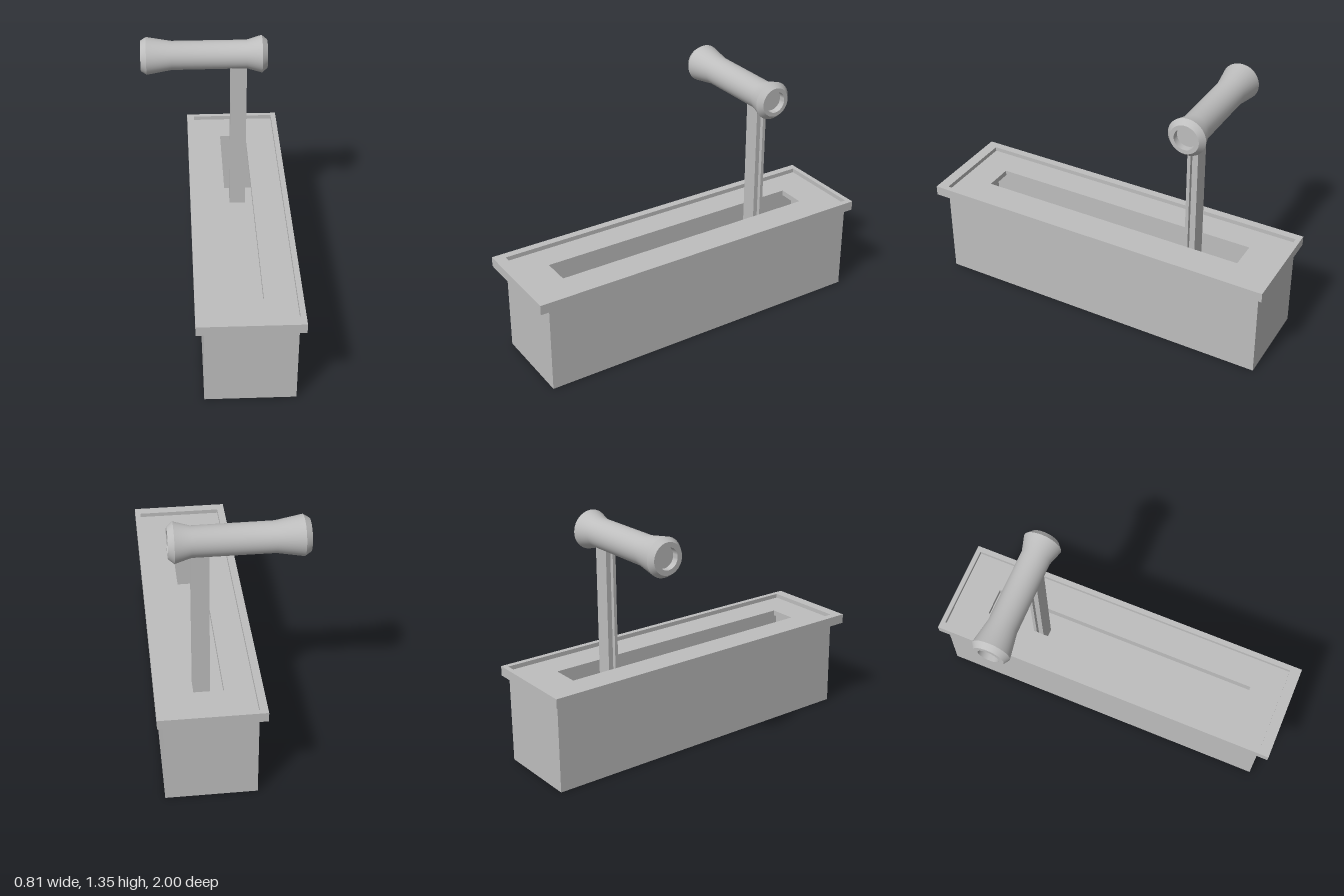
import * as THREE from 'three';
import { toCreasedNormals } from 'three/addons/utils/BufferGeometryUtils.js';

const rect = (Type, x0, x1, z0, z1) => {
  const s = new Type();
  s.moveTo(x0, -z1);
  s.lineTo(x1, -z1);
  s.lineTo(x1, -z0);
  s.lineTo(x0, -z0);
  s.closePath();
  return s;
};

// Extrude a plan outline upwards from y0 to y1
const extrudeUp = (shape, y0, y1) => {
  const g = new THREE.ExtrudeGeometry(shape, { depth: y1 - y0, bevelEnabled: false });
  return g.rotateX(-Math.PI / 2).translate(0, y0, 0);
};

export function createModel() {
  const group = new THREE.Group();
  const grey = new THREE.MeshStandardMaterial({ color: 0xbebebe, side: THREE.DoubleSide });
  grey.name = 'plain grey';
  const add = (name, geometry) => {
    const mesh = new THREE.Mesh(geometry, grey);
    mesh.name = name;
    group.add(mesh);
    return mesh;
  };

  // Hollow housing, open at the top (top face of the box removed)
  const housing = new THREE.BoxGeometry(0.48, 0.5, 1.91);
  const index = Array.from(housing.index.array);
  index.splice(12, 6);
  housing.setIndex(index);
  housing.clearGroups();
  housing.translate(0.135, 0.25, -0.016);
  add('housing', housing);

  // Raised rim around the top
  const rim = rect(THREE.Shape, -0.147, 0.405, -1, 1);
  rim.holes.push(rect(THREE.Path, -0.105, 0.375, -0.973, 0.94));
  add('rim', extrudeUp(rim, 0.496, 0.55));

  // Recessed cover plate with the lever slot
  const plate = rect(THREE.Shape, -0.105, 0.375, -0.973, 0.94);
  plate.holes.push(rect(THREE.Path, 0.05, 0.206, -0.775, 0.767));
  add('slotPlate', extrudeUp(plate, 0.496, 0.526));

  // Lever with an H section: a groove runs up each narrow side
  const w = 0.046, t = 0.03, g = 0.012, d = 0.022;
  const section = new THREE.Shape([
    [-w, -t], [w, -t], [w, -g], [w - d, -g], [w - d, g], [w, g],
    [w, t], [-w, t], [-w, g], [-w + d, g], [-w + d, -g], [-w, -g],
  ].map(([x, y]) => new THREE.Vector2(x, y)));
  const lever = add('lever', extrudeUp(section, 0.25, 1.172));
  lever.position.set(0.141, 0, -0.489);

  // Flared grip with a shallow bore in each end
  const profile = [
    [0, -0.37], [0.058, -0.37], [0.058, -0.407], [0.085, -0.407], [0.105, -0.375],
    [0.081, -0.235], [0.08, 0.185], [0.105, 0.27], [0.08, 0.3],
    [0.058, 0.3], [0.058, 0.263], [0, 0.263],
  ].map(([r, y]) => new THREE.Vector2(r, y));
  const grip = new THREE.LatheGeometry(profile, 40).rotateZ(-Math.PI / 2);
  add('grip', toCreasedNormals(grip, 0.45)).position.set(0, 1.246, -0.492);

  return group;
}
